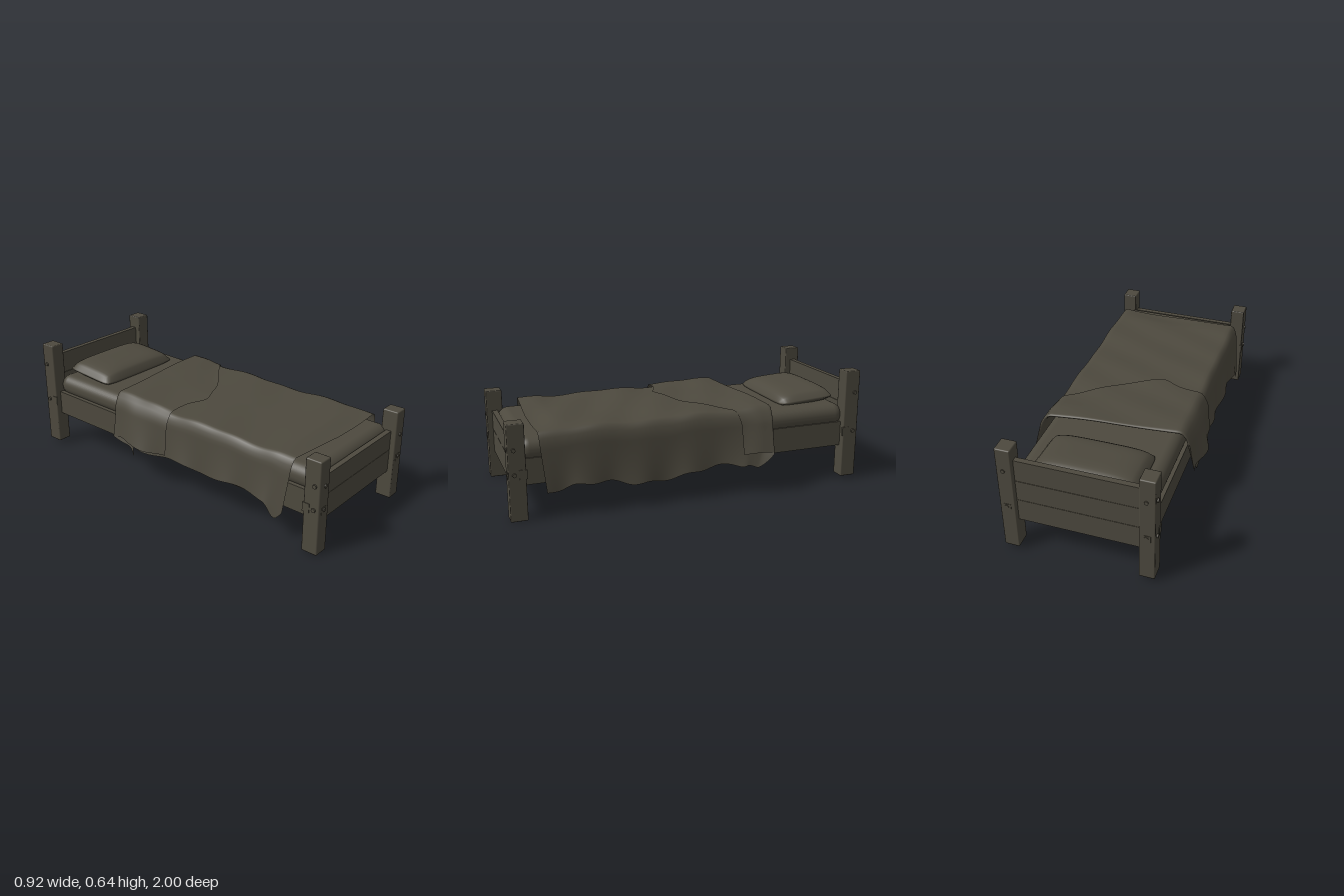
import * as THREE from 'three';
import { mergeVertices } from 'three/addons/utils/BufferGeometryUtils.js';
import { RoundedBoxGeometry } from 'three/addons/geometries/RoundedBoxGeometry.js';

const CX = -0.0075; // middle between the posts
const { lerp, smoothstep, clamp } = THREE.MathUtils;
const bump = (t, centre, width) => Math.exp(-(((t - centre) / width) ** 2));

export function createModel() {
  const bed = new THREE.Group();
  bed.name = 'bed';
  const darkWood = new THREE.MeshStandardMaterial({ color: 0x4d493e, side: THREE.DoubleSide });
  darkWood.name = 'dark olive brown';

  const add = (name, geometry, x, y, z, parent = bed) => {
    const mesh = new THREE.Mesh(geometry, darkWood);
    mesh.name = name;
    mesh.position.set(x, y, z);
    parent.add(mesh);
    return mesh;
  };
  const box = (name, w, h, d, x, y, z, parent) => add(name, new THREE.BoxGeometry(w, h, d), x, y, z, parent);

  // Corner posts with bolts and fixing plates on their outer faces
  const boltGeometry = new THREE.CylinderGeometry(0.011, 0.012, 0.014, 8);
  const ends = [
    { name: 'front', dir: 1, y0: 0, y1: 0.515, bolts: [0.25, 0.38] },
    { name: 'back', dir: -1, y0: 0.02, y1: 0.64, bolts: [0.29, 0.515] },
  ];
  for (const end of ends) {
    for (const side of [-1, 1]) {
      const x = CX + side * 0.3625;
      const z = end.dir * 0.95;
      const h = end.y1 - end.y0;
      add(end.name + 'Post', new RoundedBoxGeometry(0.082, h, 0.09, 1, 0.006), x, end.y0 + h / 2, z);
      for (const y of end.bolts) {
        add('sideBolt', boltGeometry, x + side * 0.042, y, z + end.dir * 0.015).rotation.z = -side * Math.PI / 2;
        add('endBolt', boltGeometry, x + 0.004, y - 0.005, end.dir * 0.993).rotation.x = end.dir * Math.PI / 2;
      }
      box('endPlate', 0.038, 0.04, 0.006, x, end.bolts[0] - 0.008, end.dir * 0.994);
      box('sidePlate', 0.012, 0.05, 0.04, x + side * 0.038, end.bolts[0], z - end.dir * 0.03);
    }
  }

  // Head and foot boards
  const plank = (name, y0, y1, z) => box(name, 0.66, y1 - y0, 0.03, CX, (y0 + y1) / 2, z);
  plank('footboardLowerPlank', 0.16, 0.289, 0.95);
  plank('footboardUpperPlank', 0.291, 0.4, 0.95);
  plank('headboardRail', 0.19, 0.319, -0.953);
  plank('headboardLowerPlank', 0.321, 0.439, -0.953);
  plank('headboardUpperPlank', 0.441, 0.566, -0.953);

  // Slightly tilted base: side rails, slats and mattress
  const base = new THREE.Group();
  base.name = 'base';
  base.rotation.x = 0.011;
  bed.add(base);
  for (const side of [-1, 1]) {
    box('sideRail', 0.026, 0.14, 1.84, CX + side * 0.357, 0.261, 0, base);
  }
  for (let i = 0; i < 11; i++) {
    box('slat', 0.69, 0.034, 0.085, CX, 0.285, -0.83 + i * 0.166, base);
  }
  add('mattress', new RoundedBoxGeometry(0.73, 0.125, 1.865, 5, 0.06), 0, 0.368, 0, base);

  add('pillow', pillowGeometry(), -0.01, 0.457, -0.74);
  add('blanket', blanketGeometry(), 0, 0, 0);
  return bed;
}

// Pillow: a subdivided box puffed towards its middle, with rounded corners
function pillowGeometry() {
  const box = new THREE.BoxGeometry(2, 2, 2, 28, 2, 20);
  const p = box.attributes.position;
  for (let i = 0; i < p.count; i++) {
    const u = p.getX(i), v = p.getZ(i), s = p.getY(i);
    const puff = Math.sqrt((1 - u ** 4) * (1 - v ** 4));
    const bulge = 0.985 + 0.015 * (1 - s * s);
    p.setXYZ(i,
      u * 0.28 * (1 - 0.04 * v ** 8) * bulge,
      s * (s > 0 ? 0.052 : 0.03) * puff + s * 0.006 - 0.012 * v,
      v * 0.168 * (1 - 0.06 * u ** 8) * bulge);
  }
  box.deleteAttribute('normal');
  box.deleteAttribute('uv');
  const pillow = mergeVertices(box, 1e-5);
  pillow.computeVertexNormals();
  return pillow;
}

// Blanket: one draped sheet running foot to head, then folded back over itself
function blanketGeometry() {
  const cols = 64, rows = 110, positions = [], index = [];
  for (let r = 0; r <= rows; r++) {
    const v = r / rows;
    const turn = clamp((v - 0.68) / 0.08, 0, 1) * Math.PI;
    const layer = (1 - Math.cos(turn)) / 2;
    const back = Math.max(0, (v - 0.76) / 0.24);

    for (let c = 0; c <= cols; c++) {
      const u = (c / cols) * 2 - 1, side = Math.sign(u) || 1;
      const across = Math.min(Math.abs(u) / 0.55, 1);
      const s = Math.max(0, (Math.abs(u) - 0.55) / 0.45);
      const corner = Math.min(1, s * 5) * Math.PI / 2;

      // The fold reaches further down the bed on the right side
      const foldLength = lerp(0.42, 0.16, smoothstep(u, -0.1, 0.7)) + 0.05 * bump(u, -0.2, 0.12);
      const z0 = v < 0.68
        ? 0.835 - (v / 0.68) * 1.245
        : -0.41 - 0.016 * Math.sin(turn) + back * foldLength;
      const head = 1 - smoothstep(z0, -0.4, 0.05);

      // Hem height and outward flare; the right hem is short with two hanging points
      const hemLow = side > 0
        ? 0.145 + 0.02 * Math.sin(z0 * 9 + 2.6) + 0.008 * Math.sin(z0 * 31) + 0.025 * head
        : 0.205 + 0.01 * Math.sin(z0 * 17) - 0.09 * bump(z0, 0.79, 0.06) - 0.07 * bump(z0, -0.34, 0.04);
      const hem = lerp(hemLow, 0.228 + 0.01 * Math.sin(z0 * 14), layer);
      const flare = (side > 0 ? 0.008 : 0.018) + 0.01 * (1 + Math.sin(z0 * 22 + side)) * s
        + 0.038 * head * (side > 0 ? 1 - smoothstep(z0, -0.38, -0.15) * 0.5 : smoothstep(z0, -0.4, -0.25))
        + (side > 0 ? 0.012 * bump(z0, -0.43, 0.06) : 0.012 * bump(z0, 0.8, 0.08));

      // Shallow wrinkles over the top
      const top = 0.462 - 0.006 * z0
        + 0.004 * Math.sin(z0 * 11 + u * 3) * (0.4 + across)
        + 0.003 * Math.sin(z0 * 23 - u * 7)
        - 0.014 * smoothstep(z0, 0.7, 0.83) * (1 - across * across);
      const settle = 0.8 * smoothstep(u, -0.2, 0.2) * smoothstep(back, 0.3, 1);
      const lift = layer * (0.004 + 0.014 * (1 - settle));

      const x = side * (across * 0.36 + 0.024 * Math.sin(corner) + flare * s
        + lift * Math.min(1, s * 4)) - 0.004;
      const y = top + lift * (1 - s) - 0.02 * (1 - Math.cos(corner))
        - Math.max(0, top - 0.02 - hem) * s;

      // The head edge runs askew and the hidden hem is drawn back under the fold
      const skew = 0.032 * side * across * (1 - smoothstep(z0, -0.4, 0));
      const drawn = 0.09 * s * (1 - layer) * (1 - smoothstep(z0, -0.41, -0.2));
      const footPull = smoothstep(z0, 0.6, 0.82) * (0.03 * s + (u < 0 ? 0.02 * across : 0));
      positions.push(x, y, z0 - skew + drawn - footPull);
    }
  }
  const w = cols + 1;
  for (let r = 0; r < rows; r++) {
    for (let c = 0; c < cols; c++) {
      const a = r * w + c;
      index.push(a, a + 1, a + w, a + 1, a + w + 1, a + w);
    }
  }
  const geometry = new THREE.BufferGeometry();
  geometry.setAttribute('position', new THREE.Float32BufferAttribute(positions, 3));
  geometry.setIndex(index);
  geometry.computeVertexNormals();
  return geometry;
}
